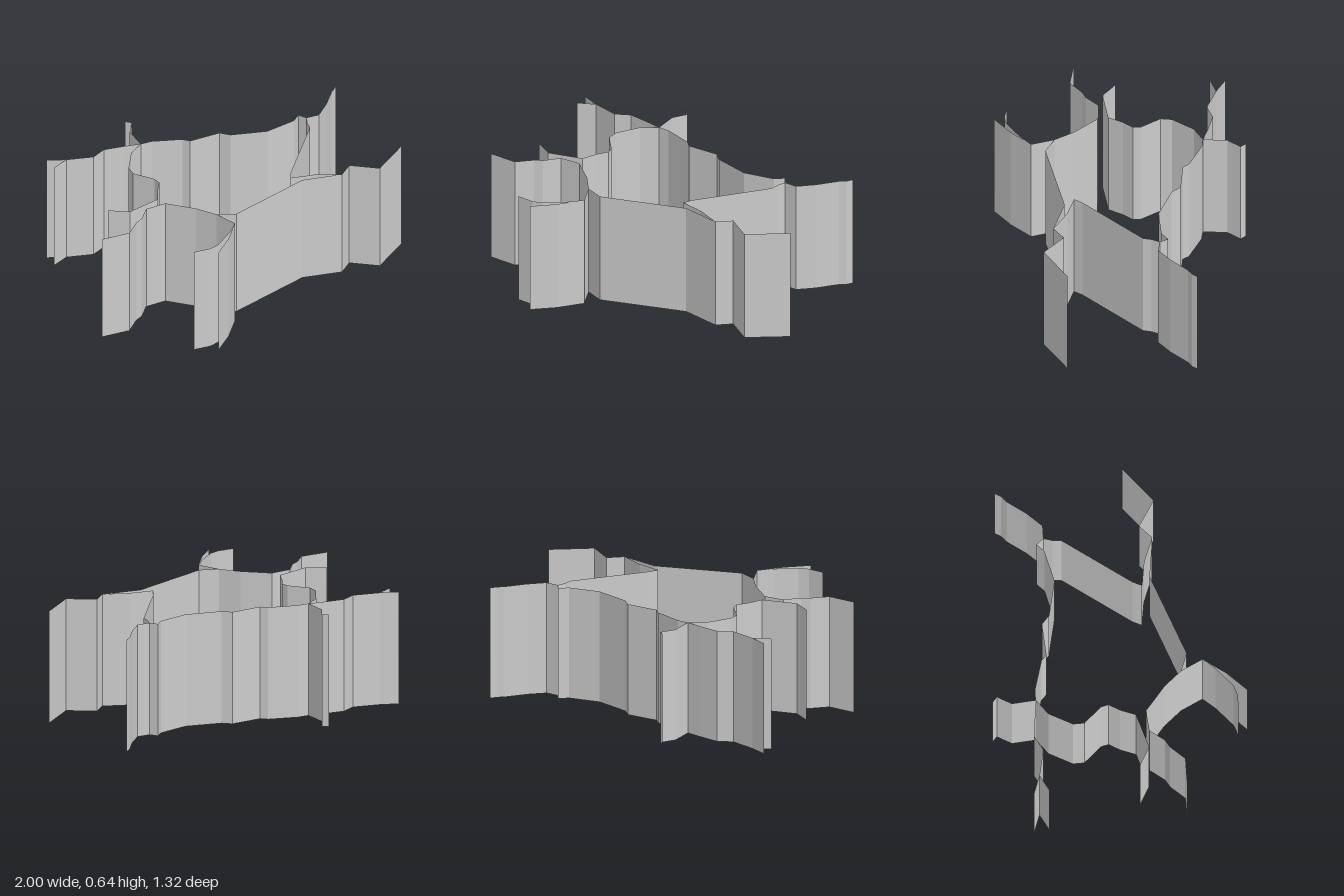
import * as THREE from 'three';

const HEIGHT = 0.645;

// Plan outlines of the upright walls, as [x, z] points
const walls = {
  frontWall: [[-0.615, 0.66], [-0.48, 0.595], [-0.35, 0.505], [-0.365, 0.37], [-0.28, 0.44],
    [0.215, 0.435], [0.415, 0.54], [0.505, 0.5], [0.61, 0.635], [0.85, 0.55]],
  frontLeftBranch: [[-0.71, 0.565], [-0.62, 0.6], [-0.56, 0.6], [-0.43, 0.55], [-0.35, 0.505]],
  sideWall: [[-1, 0.13], [-0.845, 0.185], [-0.75, 0.135], [-0.7, 0.125], [-0.615, 0.07], [-0.5, 0.1]],
  linkWall: [[-0.5, 0.1], [-0.41, 0.25], [-0.365, 0.37]],
  innerWall: [[-0.78, -0.06], [-0.7, 0.03], [-0.5, 0.04], [-0.44, -0.03], [-0.385, -0.075],
    [-0.38, -0.12], [-0.43, -0.24], [-0.41, -0.3], [-0.3, -0.4], [-0.2, -0.43]],
  diagonalWall: [[-0.2, -0.43], [-0.14, -0.41], [0, -0.31], [0.02, -0.27], [0.195, -0.22],
    [0.225, -0.165], [0.4, -0.055], [0.58, -0.035], [0.635, -0.06], [0.65, -0.01], [0.72, 0.015]],
  rightEndWall: [[0.72, 0.015], [0.82, -0.035], [0.93, -0.11], [0.97, -0.125], [1, -0.15]],
  crossWall: [[0.415, 0.54], [0.3, 0.44], [0.18, 0.375], [0.22, 0.335], [0.6, 0.075],
    [0.62, 0.03], [0.65, -0.01]],
  backWall: [[-0.715, -0.575], [-0.61, -0.59], [-0.48, -0.51], [-0.39, -0.525],
    [-0.285, -0.475], [-0.2, -0.43]],
  backCornerSpur: [[-0.695, -0.66], [-0.61, -0.59]],
  backBranch: [[-0.2, -0.43], [-0.165, -0.56], [-0.095, -0.62], [-0.115, -0.655]],
};

// Raises a plan outline into a thin, faceted upright sheet
function ribbon(points) {
  const pos = [];
  for (let i = 0; i < points.length - 1; i++) {
    const [ax, az] = points[i];
    const [bx, bz] = points[i + 1];
    pos.push(ax, 0, az, bx, 0, bz, bx, HEIGHT, bz);
    pos.push(ax, 0, az, bx, HEIGHT, bz, ax, HEIGHT, az);
  }
  const geometry = new THREE.BufferGeometry();
  geometry.setAttribute('position', new THREE.Float32BufferAttribute(pos, 3));
  geometry.computeVertexNormals();
  return geometry;
}

export function createModel() {
  const group = new THREE.Group();
  group.name = 'wallPlan';
  const material = new THREE.MeshStandardMaterial({ color: 0xcccccc, side: THREE.DoubleSide });
  for (const [name, points] of Object.entries(walls)) {
    const mesh = new THREE.Mesh(ribbon(points), material);
    mesh.name = name;
    group.add(mesh);
  }
  return group;
}
